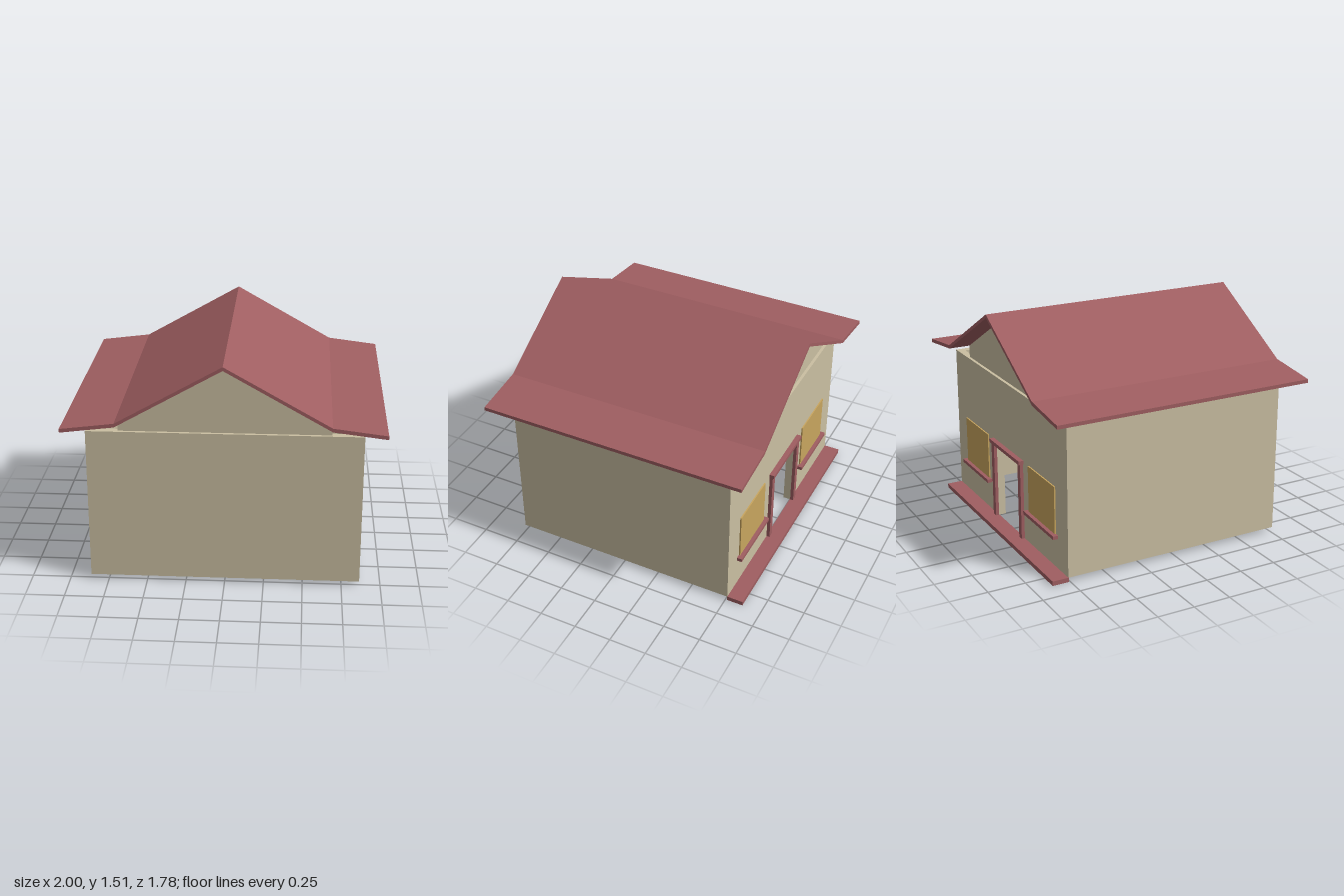
import * as THREE from 'three';

const material = (name, color, side = THREE.FrontSide) => {
  const m = new THREE.MeshStandardMaterial({ color, side });
  m.name = name;
  return m;
};

// Closed shape from a short list of points
const polygon = (points) => new THREE.Shape(points.map(([x, y]) => new THREE.Vector2(x, y)));

export function createModel() {
  const group = new THREE.Group();
  const wallMat = material('sand wall', 0xcabfa2, THREE.DoubleSide);
  const redMat = material('brick red', 0x9f5e61);
  const windowMat = material('ochre glass', 0xc8a55e);

  const add = (name, geometry, mat) => {
    const mesh = new THREE.Mesh(geometry, mat);
    mesh.name = name;
    group.add(mesh);
    return mesh;
  };
  // Box given by its limits on each axis
  const block = (name, mat, [x0, x1], [y0, y1], [z0, z1]) => {
    const mesh = add(name, new THREE.BoxGeometry(x1 - x0, y1 - y0, z1 - z0), mat);
    mesh.position.set((x0 + x1) / 2, (y0 + y1) / 2, (z0 + z1) / 2);
    return mesh;
  };
  const extrude = (name, mat, shape, z0, z1) => {
    const geometry = new THREE.ExtrudeGeometry(shape, { depth: z1 - z0, bevelEnabled: false });
    return add(name, geometry.translate(0, 0, z0), mat);
  };

  const W = 0.865, D = 0.763, T = 0.05; // half width, half depth, wall thickness
  const base = 0.03, top = 1.03;

  // Hollow walls, open above and below
  block('frontWall', wallMat, [-W, W], [base, top], [D - T, D]);
  for (const s of [-1, 1]) {
    const x = s * (W - T / 2);
    block('sideWall', wallMat, [x - T / 2, x + T / 2], [base, top], [-D + T, D - T]);
  }
  // Entrance wall with the doorway cut out
  const doorHalf = 0.19, doorTop = 0.555;
  extrude('entranceWall', wallMat, polygon([
    [-W, base], [-doorHalf, base], [-doorHalf, doorTop], [doorHalf, doorTop],
    [doorHalf, base], [W, base], [W, top], [-W, top],
  ]), -D, -D + T);

  // Thin gables set slightly back from the wall faces
  const gable = polygon([[-0.663, top], [0.663, top], [0.663, 1.112], [0, 1.488], [-0.663, 1.112]]);
  for (const s of [-1, 1]) {
    add('gable', new THREE.ShapeGeometry(gable), wallMat).position.z = s * (D - 0.02);
  }

  // Roof with flared eaves
  extrude('roof', redMat, polygon([
    [-1, 1.068], [-0.663, 1.11], [0, 1.486], [0.663, 1.11], [1, 1.068],
    [1, 1.092], [0.663, 1.134], [0, 1.51], [-0.663, 1.134], [-1, 1.092],
  ]), -0.89, 0.89);

  // Porch slab and door frame
  block('porch', redMat, [-W, W], [0, base], [-0.87, -D + 0.003]);
  block('doorLintel', redMat, [-0.237, 0.237], [doorTop, 0.58], [-0.797, -D]);

  for (const s of [-1, 1]) {
    const span = (a, b) => (s > 0 ? [a, b] : [-b, -a]);
    block('doorJamb', redMat, span(doorHalf, 0.23), [base, doorTop], [-0.785, -D]);
    block('windowPane', windowMat, span(0.32, 0.7), [0.258, 0.575], [-D - 0.009, -D]);
    block('windowSill', redMat, span(0.29, 0.73), [0.235, 0.258], [-0.797, -D]);
  }
  return group;
}
